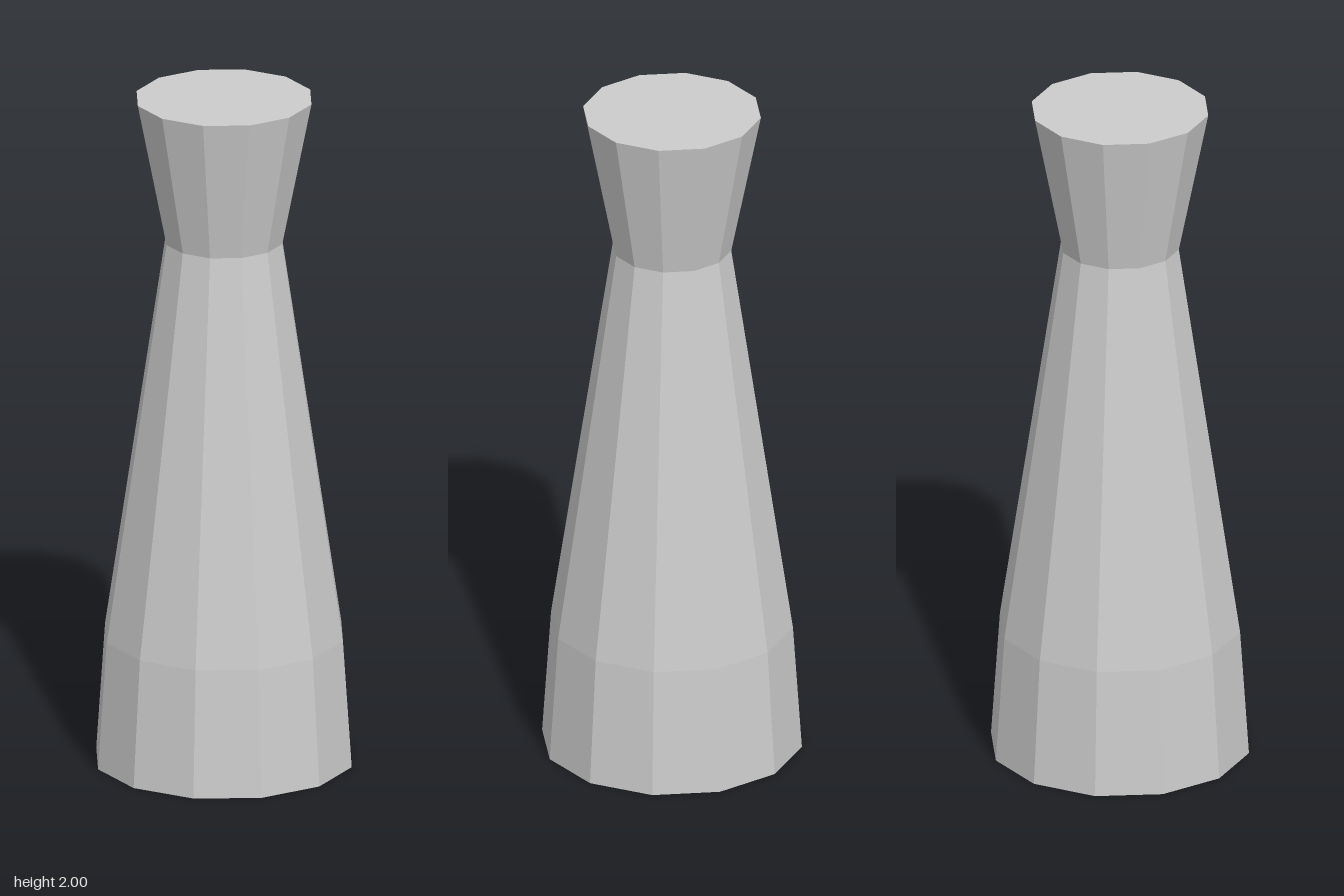
import * as THREE from 'three';

const SIDES = 12;
// [radius, height] from the foot to the rim
const PROFILE = [[0.377, 0], [0.351, 0.38], [0.172, 1.57], [0.258, 2]];

export function createModel() {
  const group = new THREE.Group();
  group.name = 'flaredColumn';
  const material = new THREE.MeshStandardMaterial({ color: 0xcccccc, flatShading: true });

  const add = (name, geometry) => {
    const flat = geometry.toNonIndexed();
    flat.computeVertexNormals();
    const mesh = new THREE.Mesh(flat, material);
    mesh.name = name;
    group.add(mesh);
  };

  // Faceted wall: foot, tapering body and flared neck
  const points = PROFILE.map(([r, y]) => new THREE.Vector2(r, y));
  add('body', new THREE.LatheGeometry(points, SIDES));

  // Flat end caps
  const [footRadius] = PROFILE[0];
  const [rimRadius, height] = PROFILE[PROFILE.length - 1];
  add('bottomCap', new THREE.CircleGeometry(footRadius, SIDES).rotateX(Math.PI / 2));
  add('topCap', new THREE.CircleGeometry(rimRadius, SIDES).rotateX(-Math.PI / 2).translate(0, height, 0));

  return group;
}
